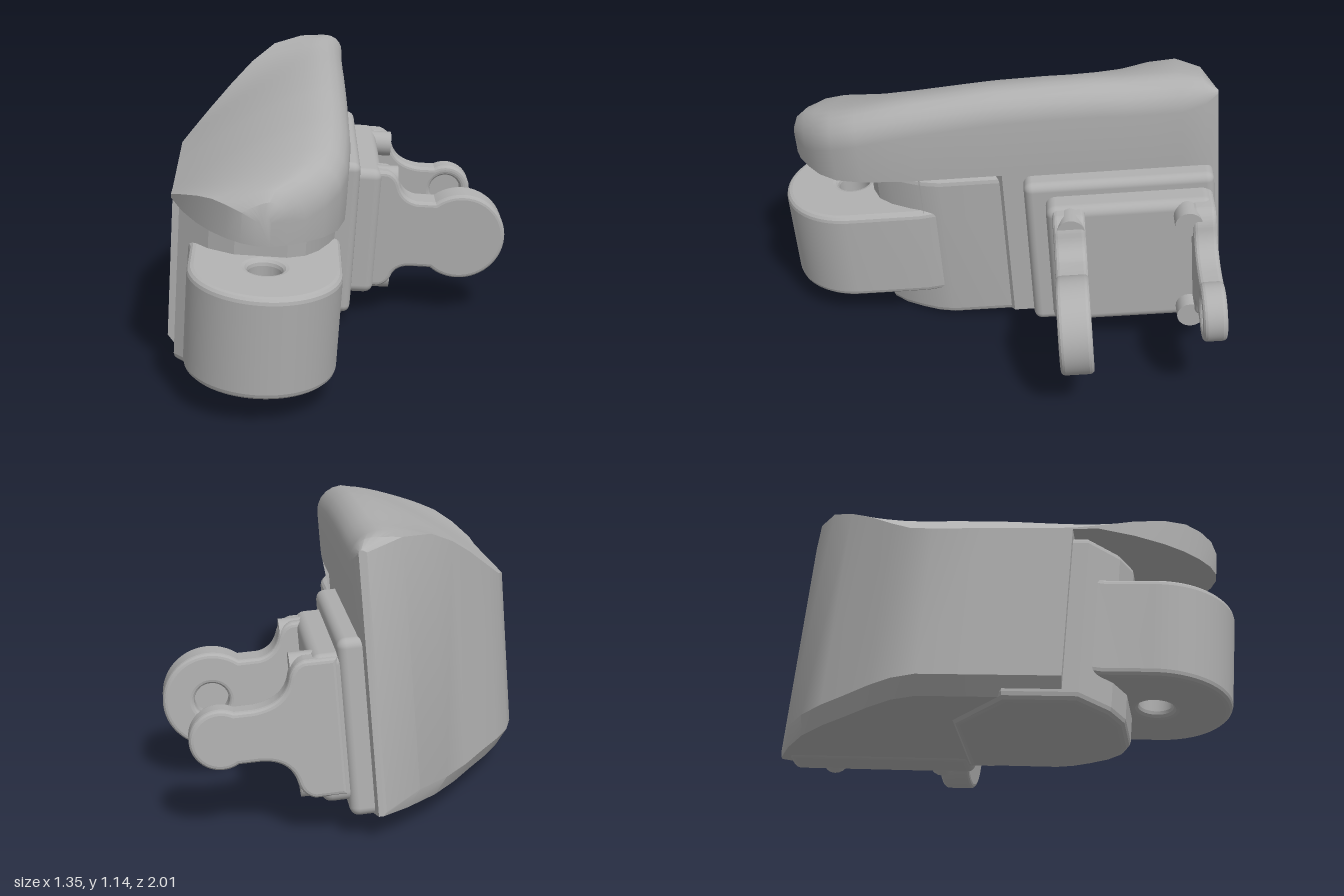
import * as THREE from 'three';
import { toCreasedNormals } from 'three/addons/utils/BufferGeometryUtils.js';
import { RoundedBoxGeometry } from 'three/addons/geometries/RoundedBoxGeometry.js';

export function createModel() {
  const grey = new THREE.MeshStandardMaterial({ color: 0xb0b0b0 });
  grey.name = 'plain grey';

  // The part is built straight, then leaned as a whole
  const link = new THREE.Group();
  link.name = 'jointLink';
  const add = (name, geometry) => {
    const mesh = new THREE.Mesh(geometry, grey);
    mesh.name = name;
    link.add(mesh);
    return mesh;
  };

  const extrude = (shape, depth, bevel) => new THREE.ExtrudeGeometry(shape, {
    depth: depth - 2 * bevel, curveSegments: 20,
    bevelThickness: bevel, bevelSize: bevel, bevelOffset: -bevel, bevelSegments: 3,
  }).translate(0, 0, bevel);
  // Plan shapes use (x, -z) and rise along y
  const slab = (shape, y0, y1, bevel) =>
    toCreasedNormals(extrude(shape, y1 - y0, bevel).rotateX(-Math.PI / 2).translate(0, y0, 0), 0.25);
  const hole = (x, y, r) => new THREE.Path().absarc(x, y, r, 0, Math.PI * 2, true);

  // Block that carries the hinge eye
  add('frontBlock', slab(new THREE.Shape([
    [-0.62, 0.1], [-0.62, 0.38], [-0.5, 0.49], [-0.4, 0.535], [-0.2, 0.54], [-0.13, 0.51],
    [-0.08, 0.455], [-0.04, 0.38], [-0.01, 0.31], [0.005, 0.24], [0.005, -0.12], [-0.4, -0.12],
  ].map(([x, z]) => new THREE.Vector2(x, -z))), 0.02, 0.71, 0.03));

  // Shell with side wall and cover: z, outer x, ridge y, inner x, top y, bottom y, lower inner x
  const capBottom = 0.725, base = 0.035;
  const sections = [
    [-0.895, -0.03, 1.03, 0.0, 1.04, base, 0.0], [-0.84, -0.167, 1.06, 0.02, 1.07, base, 0.02],
    [-0.75, -0.285, 1.04, 0.02, 1.075, base, 0.02], [-0.645, -0.38, 0.98, 0.02, 1.075, base, 0.02],
    [-0.53, -0.465, 0.905, 0.02, 1.075, base, 0.02], [-0.42, -0.55, 0.82, 0.02, 1.08, base, 0.02],
    [-0.32, -0.615, 0.755, 0.02, 1.08, base, 0.02], [-0.22, -0.65, 0.73, 0.02, 1.08, base, 0.02],
    [-0.02, -0.65, 0.73, 0.02, 1.075, base, 0.02], [0.05, -0.65, 0.73, 0.02, 1.07, base, -0.06],
    [0.32, -0.65, 0.73, 0.02, 1.045, base, -0.06], [0.32, -0.65, 0.73, 0.02, 1.045, capBottom, 0.02],
    [0.42, -0.65, 0.74, 0.015, 1.03, capBottom, 0.015], [0.55, -0.6, 0.79, 0.005, 1.005, capBottom, 0.005],
    [0.66, -0.54, 0.83, -0.025, 0.98, capBottom, -0.025], [0.735, -0.485, 0.85, -0.08, 0.95, capBottom, -0.08],
    [0.79, -0.43, 0.85, -0.15, 0.92, capBottom, -0.15], [0.83, -0.375, 0.84, -0.215, 0.885, capBottom, -0.215],
    [0.85, -0.32, 0.81, -0.27, 0.835, capBottom, -0.27],
  ];
  const positions = [], index = [];
  let n = 0;
  sections.forEach(([z, o, ridge, i, top, bottom, low]) => {
    const width = i - o, r = Math.min(0.11, width * 0.4, (top - capBottom) * 0.6);
    const chamfer = bottom === base ? Math.min(0.05, width * 0.4) : 0;
    const ring = [[low, bottom], [low, capBottom], [i, capBottom]];
    for (let k = 0; k <= 5; k++) {
      const a = (k / 5) * Math.PI / 2;
      ring.push([i - r + r * Math.cos(a), top - r + r * Math.sin(a)]);
    }
    for (let k = 1; k <= 8; k++) {
      const t = 1 - k / 8;
      ring.push([o + (width - r) * t, ridge + (top - ridge) * (1 - Math.pow(1 - t, 1.4))]);
    }
    ring.push([o, bottom + chamfer * 1.3], [o + chamfer, bottom]);
    n = ring.length;
    ring.forEach(([x, y]) => positions.push(x, y, z));
  });
  for (let s = 0; s < sections.length - 1; s++) {
    for (let k = 0; k < n; k++) {
      const a = s * n + k, b = s * n + (k + 1) % n;
      index.push(a, b, a + n, b, b + n, a + n);
    }
  }
  const last = (sections.length - 1) * n;
  for (let k = 1; k < n - 1; k++) index.push(0, k + 1, k, last, last + k, last + k + 1);
  const shell = new THREE.BufferGeometry();
  shell.setAttribute('position', new THREE.Float32BufferAttribute(positions, 3));
  shell.setIndex(index);
  add('shell', toCreasedNormals(shell.toNonIndexed(), 0.5));

  // Hinge eye at the front, its sides running out into the block
  const eye = new THREE.Shape();
  eye.moveTo(-0.08, -0.17);
  eye.lineTo(-0.6, -0.17);
  eye.lineTo(-0.6, -0.33);
  eye.lineTo(-0.57, -0.45);
  eye.lineTo(-0.57, -0.635);
  eye.absarc(-0.28, -0.635, 0.29, Math.PI, Math.PI * 2, false);
  eye.lineTo(0.01, -0.34);
  eye.lineTo(-0.005, -0.25);
  eye.closePath();
  eye.holes.push(hole(-0.28, -0.635, 0.065));
  add('hingeEye', slab(eye, 0.15, 0.555, 0.025));

  // Stepped mounting plates on the inner side
  const plate = (name, x0, x1, y0, y1, z0, z1, r) =>
    add(name, new RoundedBoxGeometry(x1 - x0, y1 - y0, z1 - z0, 3, r))
      .position.set((x0 + x1) / 2, (y0 + y1) / 2, (z0 + z1) / 2);
  plate('basePlate', -0.06, 0.1, 0.03, 0.715, -0.87, -0.105, 0.035);
  plate('lugPlate', 0.04, 0.2, 0.09, 0.66, -0.855, -0.19, 0.04);

  // Pins in the plate corners
  for (const y of [0.15, 0.6]) for (const z of [-0.285, -0.75]) {
    const pin = add('cornerPin', new THREE.CylinderGeometry(0.055, 0.055, 0.17, 20));
    pin.rotation.z = Math.PI / 2;
    pin.position.set(0.185, y, z);
  }

  // Lugs: a flared root, a neck and a round end with a blind socket
  const lug = (name, cx, cy, r, neck, neckX, z0, z1, socket, plugAtFront) => {
    const join = Math.asin(neck / r);
    const s = new THREE.Shape();
    s.moveTo(0.1, 0.12);
    s.lineTo(0.22, 0.12);
    s.quadraticCurveTo(0.265, 0.13, 0.28, 0.18);
    s.quadraticCurveTo(0.3, cy - neck, neckX, cy - neck);
    s.absarc(cx, cy, r, -Math.PI + join, Math.PI - join, false);
    s.lineTo(neckX, cy + neck);
    s.quadraticCurveTo(0.3, cy + neck + 0.01, 0.28, 0.59);
    s.quadraticCurveTo(0.265, 0.64, 0.22, 0.65);
    s.lineTo(0.1, 0.65);
    s.closePath();
    s.holes.push(hole(cx, cy, socket));
    add(name, toCreasedNormals(extrude(s, z1 - z0, 0.018).translate(0, 0, z0), 0.25));
    const plug = add(name + 'Socket', new THREE.CylinderGeometry(socket + 0.02, socket + 0.02, 0.05, 32));
    plug.rotation.x = Math.PI / 2;
    plug.position.set(cx, cy, plugAtFront ? z1 - 0.025 : z0 + 0.025);
  };
  lug('frontLug', 0.56, 0.37, 0.192, 0.15, 0.36, -0.345, -0.215, 0.068, true);
  lug('rearLug', 0.545, 0.385, 0.115, 0.1, 0.42, -0.86, -0.765, 0.07, false);

  // Lean and turn the whole link
  const up = new THREE.Vector3(0.09, 1, 0.055).normalize();
  const side = new THREE.Vector3().crossVectors(up, new THREE.Vector3(0.31, -0.08, 0.947)).normalize();
  const front = new THREE.Vector3().crossVectors(side, up);
  link.quaternion.setFromRotationMatrix(new THREE.Matrix4().makeBasis(side, up, front));

  // Stand it on the ground, centred
  const model = new THREE.Group();
  model.name = 'model';
  model.add(link);
  model.updateMatrixWorld(true);
  const box = new THREE.Box3().setFromObject(model, true);
  const c = box.getCenter(new THREE.Vector3());
  link.position.set(-c.x, -box.min.y, -c.z);
  return model;
}
